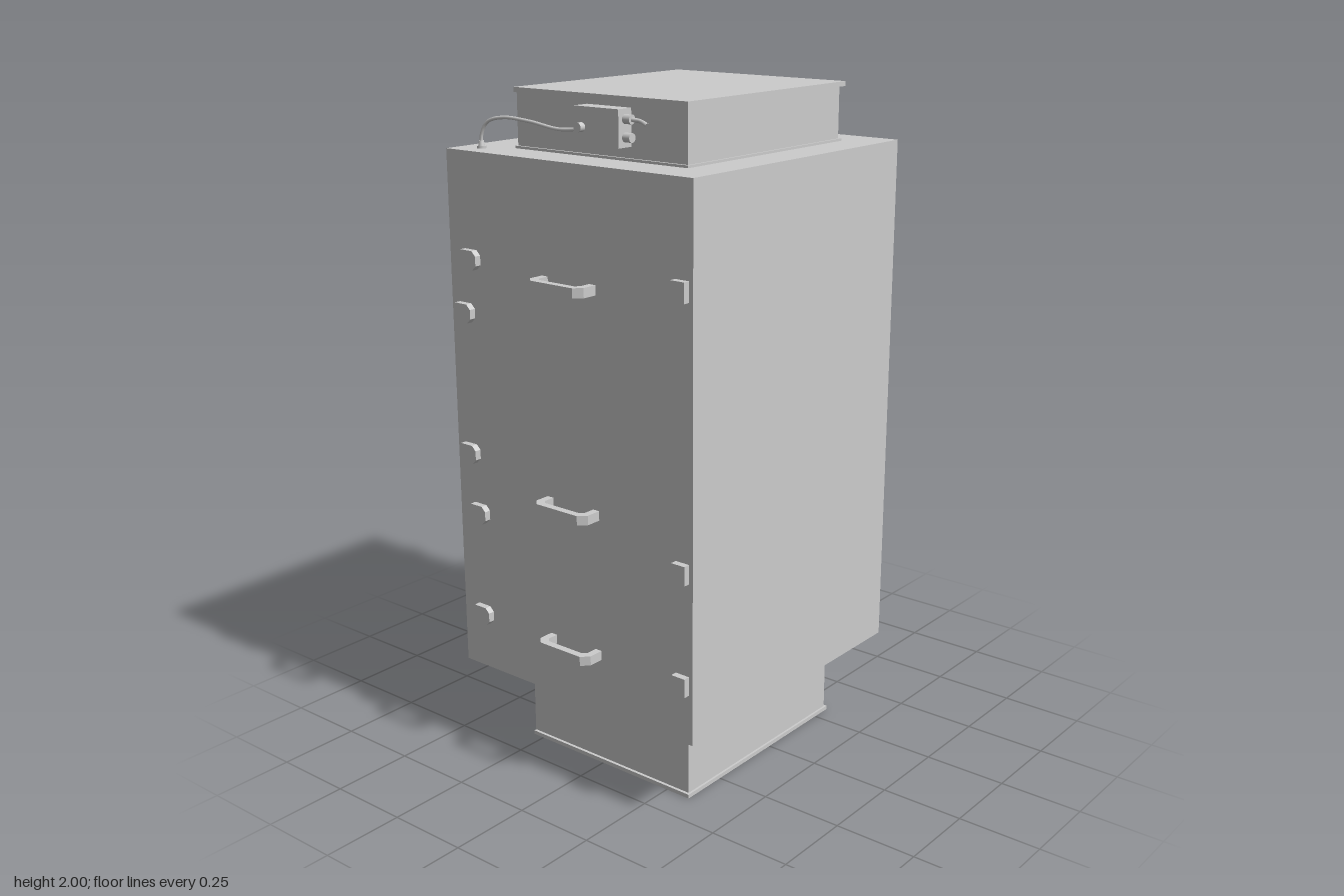
import * as THREE from 'three';

const mat = new THREE.MeshStandardMaterial({ color: 0xcccccc });
const RIGHT = 0.436, LEFT = -0.52, BASE = 0.26, TOP = 1.83;

export function createModel() {
  const model = new THREE.Group();
  model.name = 'filterHousing';

  const add = (name, geo, parent = model) => {
    const m = new THREE.Mesh(geo, mat);
    m.name = name;
    parent.add(m);
    return m;
  };
  // box given by its minimum and maximum corners
  const box = (name, x0, x1, y0, y1, z0, z1, parent) => {
    const m = add(name, new THREE.BoxGeometry(x1 - x0, y1 - y0, z1 - z0), parent);
    m.position.set((x0 + x1) / 2, (y0 + y1) / 2, (z0 + z1) / 2);
    return m;
  };
  // cylinder running along +x from x0 to x1
  const rodX = (name, r0, r1, x0, x1, y, z, parent, sides = 24) => {
    const m = add(name, new THREE.CylinderGeometry(r1, r0, x1 - x0, sides), parent);
    m.rotation.z = -Math.PI / 2;
    m.position.set((x0 + x1) / 2, y, z);
    return m;
  };
  const cable = (name, pts, r = 0.005) => {
    const curve = new THREE.CatmullRomCurve3(pts.map(p => new THREE.Vector3(...p)));
    return add(name, new THREE.TubeGeometry(curve, 40, r, 8));
  };
  const polygon = pts => new THREE.Shape(pts.map(p => new THREE.Vector2(...p)));

  // main cabinet and the two ducts with their rims
  box('cabinet', LEFT, RIGHT, BASE, TOP, -0.445, 0.443);
  box('lowerDuct', -0.39, 0.308, 0, BASE, -0.29, 0.325);
  box('upperDuct', -0.39, 0.304, TOP, 1.99, -0.29, 0.322);
  box('topFlange', -0.403, 0.319, 1.986, 2, -0.289, 0.332);
  box('bottomFlange', -0.399, 0.315, 0, 0.012, -0.289, 0.332);
  box('upperDuctFoot', -0.398, 0.313, TOP, TOP + 0.007, -0.293, 0.328);

  // chamfered pull handle; side is +1 or -1, profile lies in the x-z plane
  const handle = (side, y) => {
    const h = 0.098, o = 0.068, t = 0.022, c = 0.022;
    const s = polygon([
      [0, -h], [o - c, -h], [o, -h + c], [o, h - c], [o - c, h], [0, h],
      [0, h - t], [o - t - 0.012, h - t], [o - t, h - t - 0.012],
      [o - t, -h + t + 0.012], [o - t - 0.012, -h + t], [0, -h + t],
    ]);
    const g = new THREE.ExtrudeGeometry(s, { depth: 0.028, bevelEnabled: false });
    g.translate(0, 0, -0.014).rotateX(Math.PI / 2);
    const m = add('handle', g);
    m.position.set(side > 0 ? RIGHT : LEFT, y, 0.012);
    if (side < 0) m.rotation.y = Math.PI;
  };
  handle(1, 1.665);
  for (const y of [1.5, 0.86, 0.435]) handle(-1, y);

  // small door latch, chamfered on the edge nearest the middle of the panel
  const latch = (side, y, z) => {
    const w = 0.03, h = 0.028, c = 0.014, d = side > 0 ? 0.014 : 0.02;
    const s = polygon([[-w, -h], [w - c, -h], [w, -h + c], [w, h - c], [w - c, h], [-w, h]]);
    const g = new THREE.ExtrudeGeometry(s, { depth: d, bevelEnabled: false });
    g.translate(0, 0, -d / 2);
    const m = add('latch', g);
    m.rotation.y = z > 0 ? Math.PI / 2 : -Math.PI / 2;
    m.position.set(side > 0 ? RIGHT + d / 2 : LEFT - d / 2, y, z);
  };
  latch(1, 1.662, 0.404);
  latch(1, 1.655, -0.35);
  for (const y of [1.54, 0.768, 0.438]) latch(-1, y, 0.4);
  for (const y of [1.525, 0.76, 0.435]) latch(-1, y, -0.355);
  for (const y of [1.367, 0.943]) latch(-1, y, -0.385);

  // one round port and one sensor at each of two heights
  for (const y of [1.235, 0.6]) {
    const port = new THREE.Group();
    port.name = 'portKnob';
    model.add(port);
    rodX('portBase', 0.05, 0.05, RIGHT, 0.443, y, 0.29, port);
    rodX('portCone', 0.05, 0.022, 0.443, 0.46, y, 0.29, port);
    rodX('portStem', 0.018, 0.018, 0.455, 0.585, y, 0.29, port);

    const sensor = new THREE.Group();
    sensor.name = 'sensor';
    sensor.position.set(0, y, -0.115);
    model.add(sensor);
    rodX('sensorNeck', 0.045, 0.045, RIGHT, 0.456, 0, 0, sensor);
    rodX('sensorCan', 0.06, 0.06, 0.454, 0.537, 0, 0, sensor, 32);
    // diagonal mounting feet
    for (let i = 0; i < 4; i++) {
      const arm = new THREE.Group();
      arm.rotation.x = Math.PI / 4 + i * Math.PI / 2;
      sensor.add(arm);
      box('mountingArm', RIGHT, 0.454, 0.03, 0.086, -0.009, 0.009, arm);
      rodX('mountingScrew', 0.01, 0.01, RIGHT, 0.461, 0.078, 0, arm, 12);
    }
    // cable plug on the front side of the can
    const plug = add('sensorPlug', new THREE.CylinderGeometry(0.011, 0.015, 0.035, 12), sensor);
    plug.rotation.x = Math.PI / 2;
    plug.position.set(0.5, 0, 0.073);
  }
  cable('upperSensorCable', [
    [0.5, 1.235, -0.03], [0.49, 1.228, 0.02], [0.47, 1.18, 0.044], [0.475, 1.11, 0.025],
    [0.5, 1.055, -0.04], [0.525, 1.0, -0.15], [0.505, 0.95, -0.24], [0.45, 0.933, -0.277],
  ]);
  cable('lowerSensorCable', [
    [0.5, 0.6, -0.03], [0.49, 0.607, 0.04], [0.475, 0.645, 0.083], [0.475, 0.69, 0.06],
    [0.49, 0.715, 0.0], [0.52, 0.705, -0.1], [0.515, 0.675, -0.21], [0.45, 0.65, -0.277],
  ]);
  for (const y of [0.932, 0.648]) {
    rodX('cableGland', 0.021, 0.021, RIGHT, 0.443, y, -0.277, model, 6);
    rodX('cableGlandTip', 0.013, 0.009, 0.443, 0.458, y, -0.277, model, 12);
  }

  // switch box on the side of the upper duct
  const sw = new THREE.Group();
  sw.name = 'switchBox';
  model.add(sw);
  box('switchBody', -0.442, -0.39, 1.868, 1.97, -0.027, 0.13, sw);
  rodX('switchButton', 0.013, 0.013, -0.46, -0.44, 1.915, 0, sw, 16);
  for (const y of [1.895, 1.943]) {
    const p = add('switchPlug', new THREE.CylinderGeometry(0.013, 0.013, 0.025, 16), sw);
    p.rotation.x = Math.PI / 2;
    p.position.set(-0.415, y, 0.142);
  }
  cable('switchLead', [[-0.415, 1.943, 0.15], [-0.412, 1.94, 0.18], [-0.422, 1.932, 0.212]], 0.006);

  // cable from the switch box down to the cabinet roof
  cable('roofCable', [
    [-0.415, 1.905, -0.025], [-0.425, 1.9, -0.1], [-0.437, 1.915, -0.2],
    [-0.447, 1.92, -0.29], [-0.453, 1.905, -0.345], [-0.456, 1.87, -0.367], [-0.456, 1.835, -0.369],
  ]);
  const gland = (name, r0, r1, h, y) => {
    add(name, new THREE.CylinderGeometry(r1, r0, h, 12)).position.set(-0.456, y + h / 2, -0.369);
  };
  gland('roofGland', 0.014, 0.014, 0.007, TOP);
  gland('roofGlandTip', 0.01, 0.007, 0.015, TOP + 0.007);

  return model;
}
